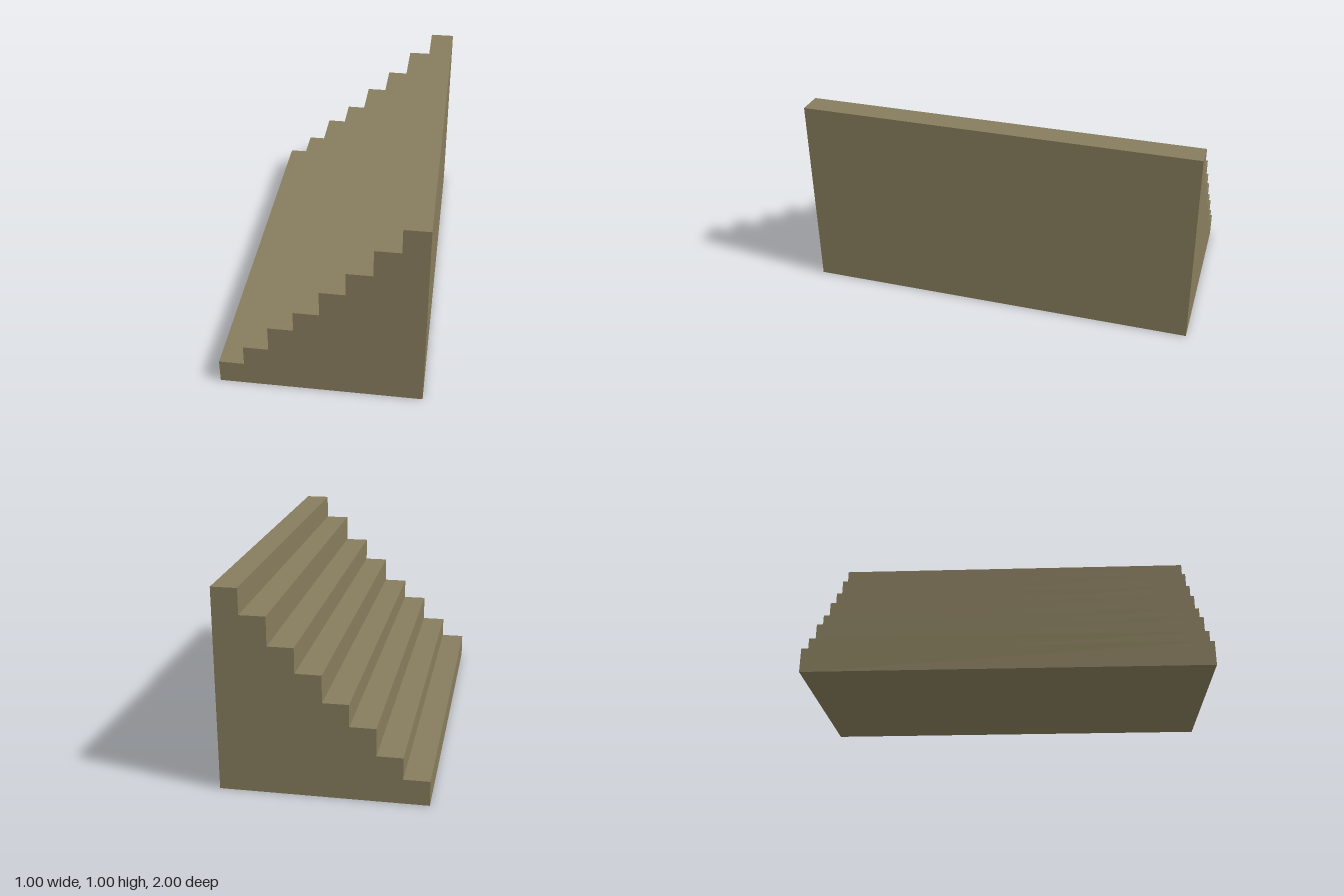
import * as THREE from 'three';

// Height of each tread, from the lowest step (-x) to the top step (+x)
const TREADS = [0.123, 0.231, 0.367, 0.476, 0.61, 0.733, 0.874, 1];
const WIDTH = 1;
const LENGTH = 2;

export function createModel() {
  const stone = new THREE.MeshStandardMaterial({ color: 0x877c5d });
  stone.name = 'stone';

  // Stepped side profile: one riser and one tread per step
  const run = WIDTH / TREADS.length;
  const profile = new THREE.Shape();
  profile.moveTo(WIDTH / 2, 0);
  [...TREADS].reverse().forEach((y, i) => {
    const x = WIDTH / 2 - i * run;
    profile.lineTo(x, y);
    profile.lineTo(x - run, y);
  });
  profile.lineTo(-WIDTH / 2, 0);
  profile.closePath();

  // Solid flight of steps, extruded along z
  const geometry = new THREE.ExtrudeGeometry(profile, { depth: LENGTH, bevelEnabled: false });
  geometry.translate(0, 0, -LENGTH / 2);
  const stairs = new THREE.Mesh(geometry, stone);
  stairs.name = 'stairs';

  const model = new THREE.Group();
  model.name = 'staircase';
  model.add(stairs);
  return model;
}
